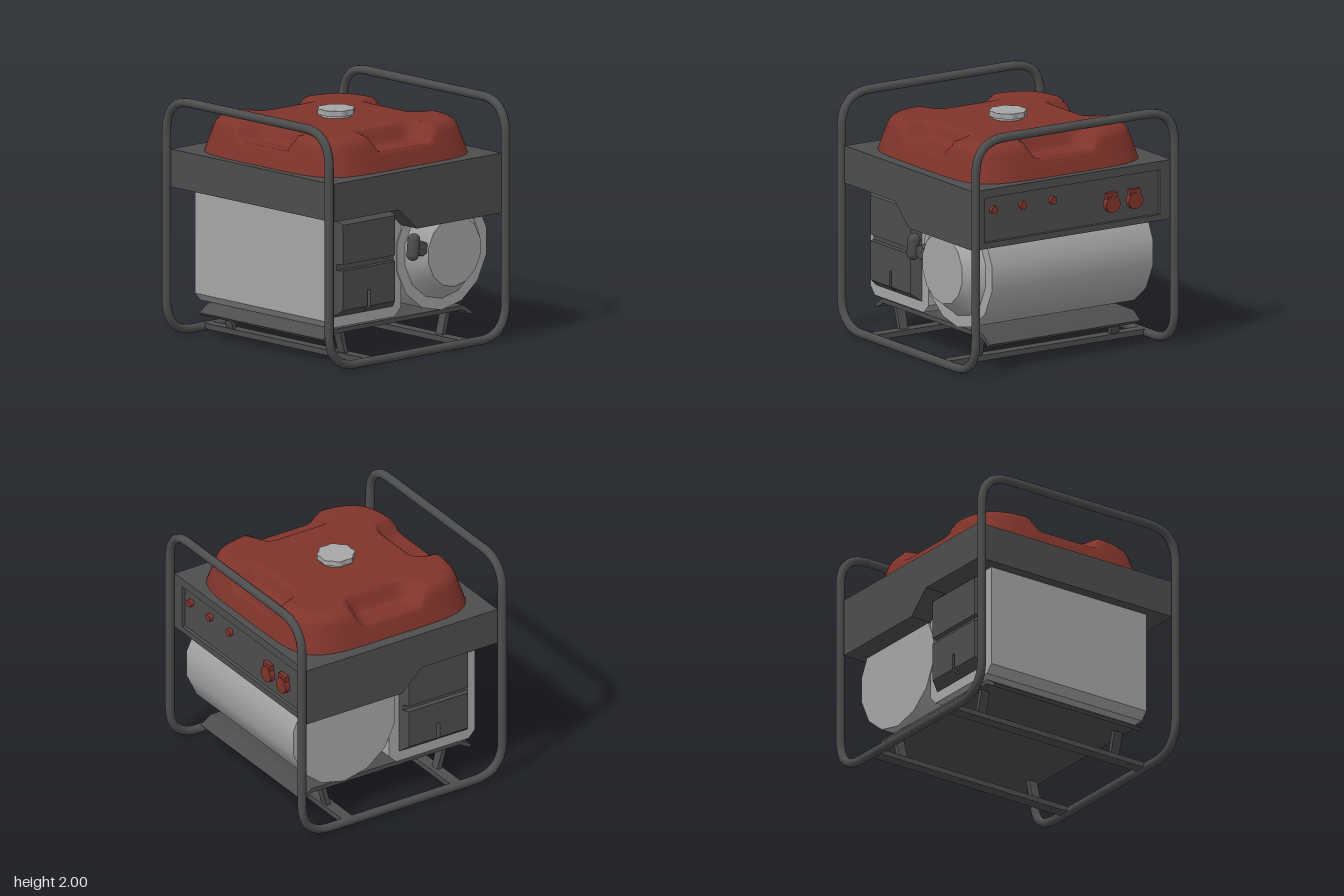
import * as THREE from 'three';

const mat = (name, color) => {
  const m = new THREE.MeshStandardMaterial({ color });
  m.name = name;
  return m;
};

export function createModel() {
  const dark = mat('dark grey', 0x4d4d4d);
  const light = mat('light grey', 0xa6a6a6);
  const red = mat('tank red', 0x80342b);
  const model = new THREE.Group();
  model.name = 'generator';

  const add = (name, geo, material, x = 0, y = 0, z = 0, parent = model) => {
    const m = new THREE.Mesh(geo, material);
    m.name = name;
    m.position.set(x, y, z);
    parent.add(m);
    return m;
  };
  const box = (w, h, d) => new THREE.BoxGeometry(w, h, d);

  // Prism along x from a [z, y] profile
  const prism = (pts, width) => {
    const shape = new THREE.Shape(pts.map(([z, y]) => new THREE.Vector2(-z, y)));
    const g = new THREE.ExtrudeGeometry(shape, { depth: width, bevelEnabled: false });
    return g.translate(0, 0, -width / 2).rotateY(Math.PI / 2);
  };

  // Block between two rectangles [z0, z1, y0, y1] at x0 and x1
  const frustum = (x0, x1, a, b) => {
    const g = box(1, 1, 1);
    const p = g.attributes.position;
    for (let i = 0; i < p.count; i++) {
      const r = p.getX(i) > 0 ? b : a;
      p.setXYZ(i, p.getX(i) > 0 ? x1 : x0, r[p.getY(i) > 0 ? 3 : 2], r[p.getZ(i) > 0 ? 1 : 0]);
    }
    g.computeVertexNormals();
    return g;
  };

  // Closed tubular frame: two top hoops joined by the side runners
  const R = 0.037, E = 0.963, T = 2 - R;
  const corners = [
    [-E, T, E], [E, T, E], [E, R, E], [E, R, -E],
    [E, T, -E], [-E, T, -E], [-E, R, -E], [-E, R, E],
  ].map((c) => new THREE.Vector3(...c));
  const path = new THREE.CurvePath();
  const towards = (a, b) => b.clone().sub(a).setLength(0.28).add(a);
  corners.forEach((c, i) => {
    const prev = corners[(i + 7) % 8], next = corners[(i + 1) % 8];
    path.add(new THREE.QuadraticBezierCurve3(towards(c, prev), c, towards(c, next)));
    path.add(new THREE.LineCurve3(towards(c, next), towards(next, c)));
  });
  add('tubeFrame', new THREE.TubeGeometry(path, 280, R, 10, true), dark);

  // Base: cross bars, slanted feet and mounting plate
  for (const s of [1, -1]) {
    add('crossBar', box(1.9, 0.045, 0.1), dark, 0, 0.045, s * 0.52);
    for (const x of [-0.66, 0.66]) {
      const foot = [[0.605, 0.26], [0.565, 0.26], [0.51, 0.06], [0.55, 0.06]];
      add('foot', prism(foot.map(([z, y]) => [s * z, y]), 0.08), dark, x);
    }
  }
  add('mountingPlate', prism([
    [0.72, 0.287], [0.82, 0.22], [0.80, 0.197], [0.71, 0.25],
    [-0.71, 0.25], [-0.80, 0.197], [-0.82, 0.22], [-0.72, 0.287],
  ], 1.46), dark);

  // Engine block with chamfered lower edges
  add('engineBlock', prism([
    [0.83, 1.25], [0.83, 0.375], [0.77, 0.31], [0.07, 0.31], [0, 0.38], [0, 1.25],
  ], 1.54), light);

  // Side covers split by a horizontal and a short vertical groove
  for (const s of [1, -1]) {
    const cover = new THREE.Group();
    cover.name = 'sideCover';
    cover.position.z = 0.425;
    cover.rotation.y = s > 0 ? 0 : Math.PI;
    model.add(cover);
    const o = 0.335, i = 0.285, g = 0.015;
    const part = (name, x1, a, b) => add(name, frustum(0.76, x1, a, b), dark, 0, 0, 0, cover);
    part('coverCore', 0.805, [-o, o, 0.39, 1.23], [-0.31, 0.31, 0.425, 1.2]);
    part('coverUpper', 0.85, [-o, o, 0.835, 1.23], [-i, i, 0.835, 1.16]);
    part('coverMiddle', 0.85, [-o, o, 0.59, 0.785], [-i, i, 0.59, 0.785]);
    part('coverLower', 0.85, [-o, -g, 0.39, 0.59], [-i, -g, 0.46, 0.59]);
    part('coverLower', 0.85, [g, o, 0.39, 0.59], [g, i, 0.46, 0.59]);
  }

  // Alternator drum and tapered starter housing
  const drum = (r1, r0, len) =>
    new THREE.CylinderGeometry(r1, r0, len, 14, 1, false, Math.PI / 2).rotateZ(-Math.PI / 2);
  add('drum', drum(0.5, 0.5, 1.56), light, 0, 0.795, -0.435);
  add('starterHousing', drum(0.29, 0.41, 0.15), light, 0.855, 0.8, -0.435);

  // Pull handle with its knob
  const handle = new THREE.CapsuleGeometry(0.052, 0.12, 5, 12);
  add('pullHandle', handle, dark, 0.915, 0.892, 0).rotation.x = -0.1;
  const knob = new THREE.CylinderGeometry(0.06, 0.07, 0.1, 8).rotateZ(-Math.PI / 2);
  add('handleKnob', knob, dark, 0.87, 0.865, -0.1);
  add('handleStem', new THREE.CylinderGeometry(0.025, 0.025, 0.13, 8).rotateX(Math.PI / 2),
    dark, 0.9, 0.87, -0.06);

  // Tank tray with stepped lower edge
  add('tray', prism([
    [0.92, 1.54], [0.92, 1.23], [0.2, 1.23], [0, 1.05], [-0.89, 1.05], [-0.89, 1.54],
  ], 1.92), dark);

  // Recessed control panel at the back
  const rim = new THREE.Shape([[-0.96, 1.05], [0.96, 1.05], [0.96, 1.54], [-0.96, 1.54]]
    .map((p) => new THREE.Vector2(...p)));
  rim.holes.push(new THREE.Path([[-0.85, 1.1], [-0.85, 1.47], [0.85, 1.47], [0.85, 1.1]]
    .map((p) => new THREE.Vector2(...p))));
  add('panelRim', new THREE.ExtrudeGeometry(rim, { depth: 0.03, bevelEnabled: false }),
    dark, 0, 0, -0.92);
  const disc = (r, d) => new THREE.CylinderGeometry(r, r, d, 12).rotateX(Math.PI / 2);
  for (const x of [0.75, 0.47, 0.18]) add('panelKnob', disc(0.032, 0.04), red, x, 1.36, -0.905);
  for (const x of [-0.39, -0.61]) {
    add('socket', disc(0.07, 0.05), red, x, 1.25, -0.91);
    add('socketHinge', box(0.1, 0.05, 0.04), red, x, 1.32, -0.905);
  }

  // Fuel tank: rounded-square rings with a grip hollow in the middle of each side
  const sides = 128, profile = [];
  for (const s of [0, 0.25, 0.45, 0.55]) profile.push([s, 1.83]);
  for (let s = 0.58; s < 0.82; s += 0.02) profile.push([s, 1.83]);
  profile.push([0.835, 1.83], [0.86, 1.825], [0.885, 1.81], [0.91, 1.785], [0.925, 1.755],
    [0.94, 1.71], [0.955, 1.67], [0.975, 1.61], [1, 1.535]);
  const smooth = THREE.MathUtils.smoothstep;
  const hollow = (u, v) => {
    const w = 0.18 + Math.max(0, v - 0.56) * 0.35;
    return smooth(v, 0.53, 0.62) * (1 - smooth(Math.abs(u), w, w + 0.13));
  };
  const pos = [], index = [];
  profile.forEach(([s, h], j) => {
    for (let i = 0; i < sides; i++) {
      const a = (i / sides) * Math.PI * 2, c = Math.cos(a), n = Math.sin(a);
      const k = s / Math.pow(Math.abs(c) ** 5 + Math.abs(n) ** 5, 0.2);
      const x = 0.866 * k * c, z = 0.856 * k * n;
      const d = Math.max(hollow(x, Math.abs(z)), hollow(z, Math.abs(x)));
      pos.push(x, Math.min(h, 1.83 - 0.14 * d), z);
      if (j === 0) continue;
      const i2 = (i + 1) % sides, p = (j - 1) * sides, q = j * sides;
      index.push(p + i, p + i2, q + i, p + i2, q + i2, q + i);
    }
  });
  const tank = new THREE.BufferGeometry();
  tank.setAttribute('position', new THREE.Float32BufferAttribute(pos, 3));
  tank.setIndex(index);
  tank.computeVertexNormals();
  // The collapsed centre lies flat under the cap
  for (let i = 0; i < sides; i++) tank.attributes.normal.setXYZ(i, 0, 1, 0);
  add('fuelTank', tank, red);

  // Scalloped filler cap on its neck
  const capPts = [];
  for (let i = 0; i < 64; i++) {
    const a = (i / 64) * Math.PI * 2, r = 0.148 + 0.007 * Math.cos(8 * a + Math.PI);
    capPts.push(new THREE.Vector2(r * Math.cos(a), r * Math.sin(a)));
  }
  const cap = new THREE.ExtrudeGeometry(new THREE.Shape(capPts), { depth: 0.045, bevelEnabled: false });
  add('fillerCap', cap.rotateX(-Math.PI / 2), light, 0, 1.85, 0);
  add('fillerNeck', new THREE.CylinderGeometry(0.125, 0.125, 0.04, 24), light, 0, 1.84, 0);

  return model;
}
